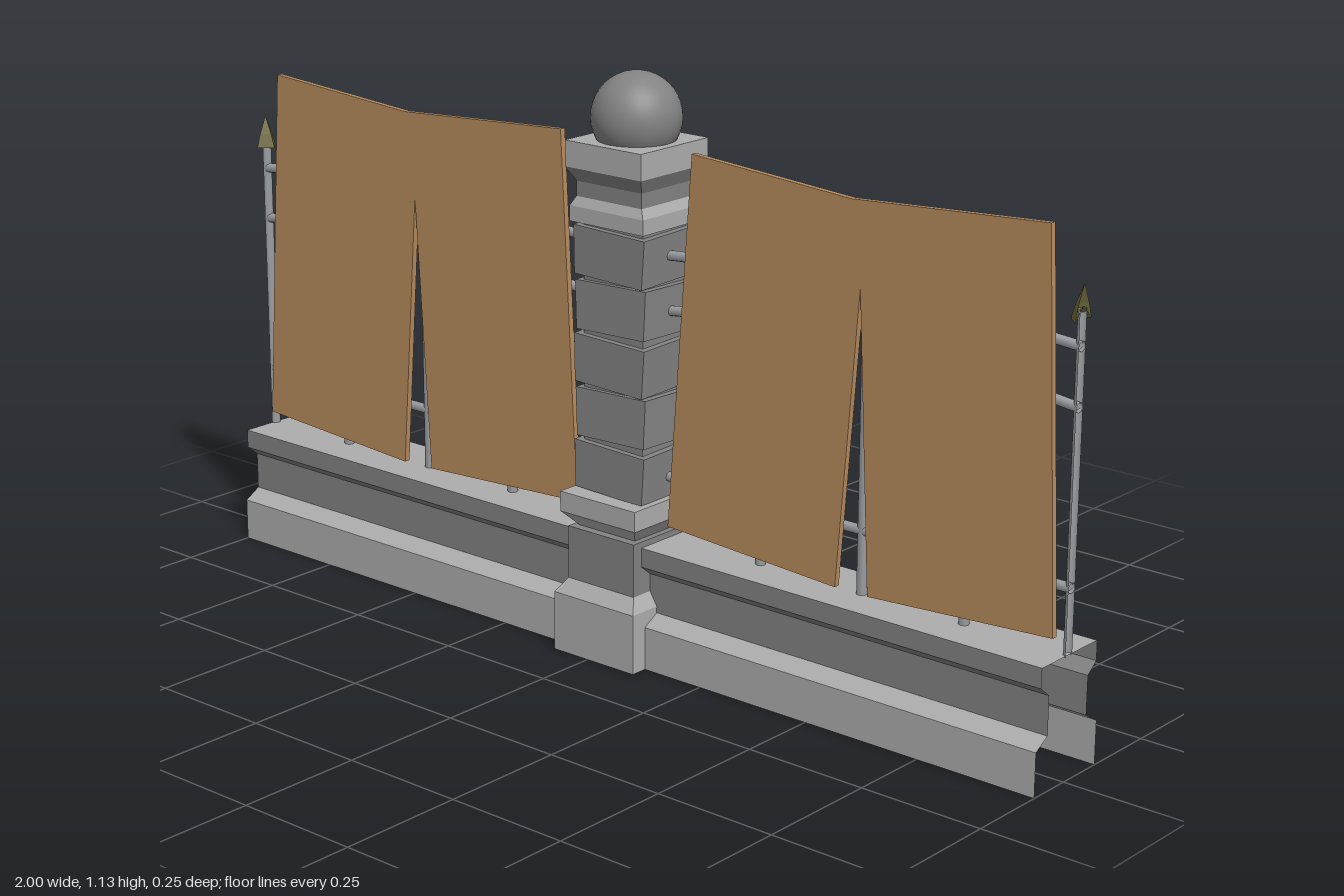
import * as THREE from 'three';

const mat = (name, color, side = THREE.FrontSide) => {
  const m = new THREE.MeshStandardMaterial({ color, side });
  m.name = name;
  return m;
};

export function createModel() {
  const root = new THREE.Group();
  root.name = 'fenceSection';
  const light = mat('lightStone', 0xadadad, THREE.DoubleSide);
  const dark = mat('darkStone', 0x838383, THREE.DoubleSide);
  const metal = mat('greyMetal', 0x9b9ea2, THREE.DoubleSide);
  const bronze = mat('oldBronze', 0x6f693c, THREE.DoubleSide);
  const wood = mat('wood', 0xb78c5e);

  const add = (parent, name, geo, material, x = 0, y = 0, z = 0) => {
    const mesh = new THREE.Mesh(geo, material);
    mesh.name = name;
    mesh.position.set(x, y, z);
    parent.add(mesh);
    return mesh;
  };
  const flat = (geo) => {
    const g = geo.index ? geo.toNonIndexed() : geo;
    g.computeVertexNormals();
    return g;
  };

  // Open rectangular tube through rings [y, halfX, halfZ], listed bottom to top
  const loft = (rings) => {
    const n = rings.length - 1;
    const g = new THREE.CylinderGeometry(1, 1, 1, 4, n, true).rotateY(Math.PI / 4);
    const p = g.attributes.position;
    for (let i = 0; i < p.count; i++) {
      const [y, hx, hz] = rings[Math.round((p.getY(i) + 0.5) * n)];
      p.setXYZ(i, Math.sign(p.getX(i)) * hx, y, Math.sign(p.getZ(i)) * hz);
    }
    return flat(g);
  };

  // Low wall: an open shell made of strips along x, from profile points [z, y]
  const wall = new THREE.Group();
  wall.name = 'lowWall';
  wall.position.z = -0.004;
  root.add(wall);
  const strip = (name, profile, material) => {
    const g = new THREE.PlaneGeometry(2, 1, 1, profile.length - 1);
    const p = g.attributes.position;
    for (let i = 0; i < p.count; i++) {
      const [z, y] = profile[Math.floor(i / 2)];
      p.setXYZ(i, p.getX(i), y, z);
    }
    add(wall, name, flat(g), material);
  };
  const mirror = (profile) => profile.map(([z, y]) => [-z, y]).reverse();
  const plinth = [[0.06, 0.105], [0.094, 0.085], [0.094, 0]];
  const face = [[0.085, 0.238], [0.085, 0.2], [0.06, 0.18], [0.06, 0.105]];
  strip('wallTop', [[-0.085, 0.238], [0.085, 0.238]], light);
  strip('frontPlinth', plinth, light);
  strip('backPlinth', mirror(plinth), light);
  strip('frontWallFace', face, dark);
  strip('backWallFace', mirror(face), dark);

  // Pillar
  const pillar = new THREE.Group();
  pillar.name = 'pillar';
  pillar.position.x = 0.015;
  root.add(pillar);
  add(pillar, 'pillarBase', loft([[0, 0.1, 0.125], [0.118, 0.1, 0.125], [0.145, 0.083, 0.103]]), light);
  add(pillar, 'pillarNeck', loft([[0.145, 0.083, 0.103], [0.25, 0.083, 0.103], [0.25, 0.07, 0.085]]), dark);
  add(pillar, 'lowerCap', loft([[0.25, 0.07, 0.085], [0.28, 0.094, 0.113],
    [0.32, 0.094, 0.113], [0.32, 0.06, 0.06]]), light);
  add(pillar, 'pillarCore', loft([[0.32, 0.073, 0.066], [0.85, 0.073, 0.066]]), dark);
  for (let i = 0; i < 5; i++) {
    const s = i % 2 ? 1 : -1;
    const block = add(pillar, 'pillarBlock' + (i + 1),
      loft([[-0.047, 0, 0], [-0.047, 0.083, 0.079], [0.047, 0.087, 0.077], [0.047, 0, 0]]),
      dark, s * 0.002, 0.37 + i * 0.105, 0);
    block.rotation.set(-s * 0.025, 0, s * 0.03);
  }
  add(pillar, 'collar', loft([[0.84, 0.07, 0.065], [0.845, 0.09, 0.086], [0.875, 0.09, 0.086],
    [0.893, 0.08, 0.078]]), light);
  add(pillar, 'collarNeck', loft([[0.893, 0.08, 0.078], [0.922, 0.08, 0.078], [0.95, 0.093, 0.095]]), dark);
  add(pillar, 'topCap', loft([[0.95, 0.093, 0.095], [1, 0.093, 0.095], [1, 0, 0]]), light);
  add(pillar, 'ball', new THREE.SphereGeometry(0.086, 32, 20), dark, 0, 1.042, 0);

  // Fence posts with barbed spear tips; the outermost ones are cut in half
  const fence = new THREE.Group();
  fence.name = 'ironFence';
  root.add(fence);
  const post = (x, top, start, arc) => {
    const h = top + 0.02 - 0.235;
    add(fence, 'post', new THREE.CylinderGeometry(0.01, 0.01, h, 8, 1, true, start, arc),
      metal, x, 0.235 + h / 2, 0);
    const tip = [[0, 0.026], [0.025, 0], [0.009, 0.025], [0, 0.065]];
    const outline = [tip[0], tip[1], [0.016, 0.028], tip[3]].map(([r, y]) => new THREE.Vector2(r, y));
    const half = arc < 6;
    const g = new THREE.LatheGeometry(outline, half ? 2 : 4, half ? start : Math.PI / 4, arc);
    add(fence, 'spearTip', flat(g), bronze, x, top, 0);
  };
  for (const x of [-0.775, -0.54, -0.31, 0.32, 0.555, 0.78]) {
    post(x, Math.abs(x) > 0.5 && Math.abs(x) < 0.6 ? 0.9 : 0.835, 0, Math.PI * 2);
  }
  post(-1, 0.835, 0, Math.PI);
  post(1, 0.835, Math.PI, Math.PI);

  // Rails; the two upper ones rise towards the tall middle post
  const rail = (a, b) => {
    const d = b.clone().sub(a);
    const bar = add(fence, 'rail', new THREE.CylinderGeometry(0.01, 0.01, d.length(), 8, 1, true), metal);
    bar.position.copy(a).add(b).multiplyScalar(0.5);
    bar.quaternion.setFromUnitVectors(new THREE.Vector3(0, 1, 0), d.normalize());
  };
  for (const s of [-1, 1]) {
    for (const [y, rise] of [[0.36, 0], [0.683, 0.055], [0.79, 0.035]]) {
      const mid = new THREE.Vector3(s * 0.55, y + rise, 0);
      rail(new THREE.Vector3(s, y, 0), mid);
      rail(mid, new THREE.Vector3(s * 0.08, y, 0));
    }
  }

  // Slit wooden boards in front of the fence
  const board = (name, pts) => {
    const shape = new THREE.Shape(pts.map(([x, y]) => new THREE.Vector2(x, y)));
    add(root, name, new THREE.ExtrudeGeometry(shape, { depth: 0.012, bevelEnabled: false }), wood, 0, 0, 0.019);
  };
  board('rightBoard', [[-0.925, 1], [-0.56, 0.975], [-0.147, 1], [-0.11, 0.27],
    [-0.505, 0.25], [-0.537, 0.805], [-0.58, 0.248], [-0.975, 0.273]]);
  board('leftBoard', [[0.174, 1], [0.537, 0.975], [0.95, 1], [0.986, 0.273],
    [0.59, 0.25], [0.56, 0.817], [0.517, 0.25], [0.12, 0.273]]);

  return root;
}
